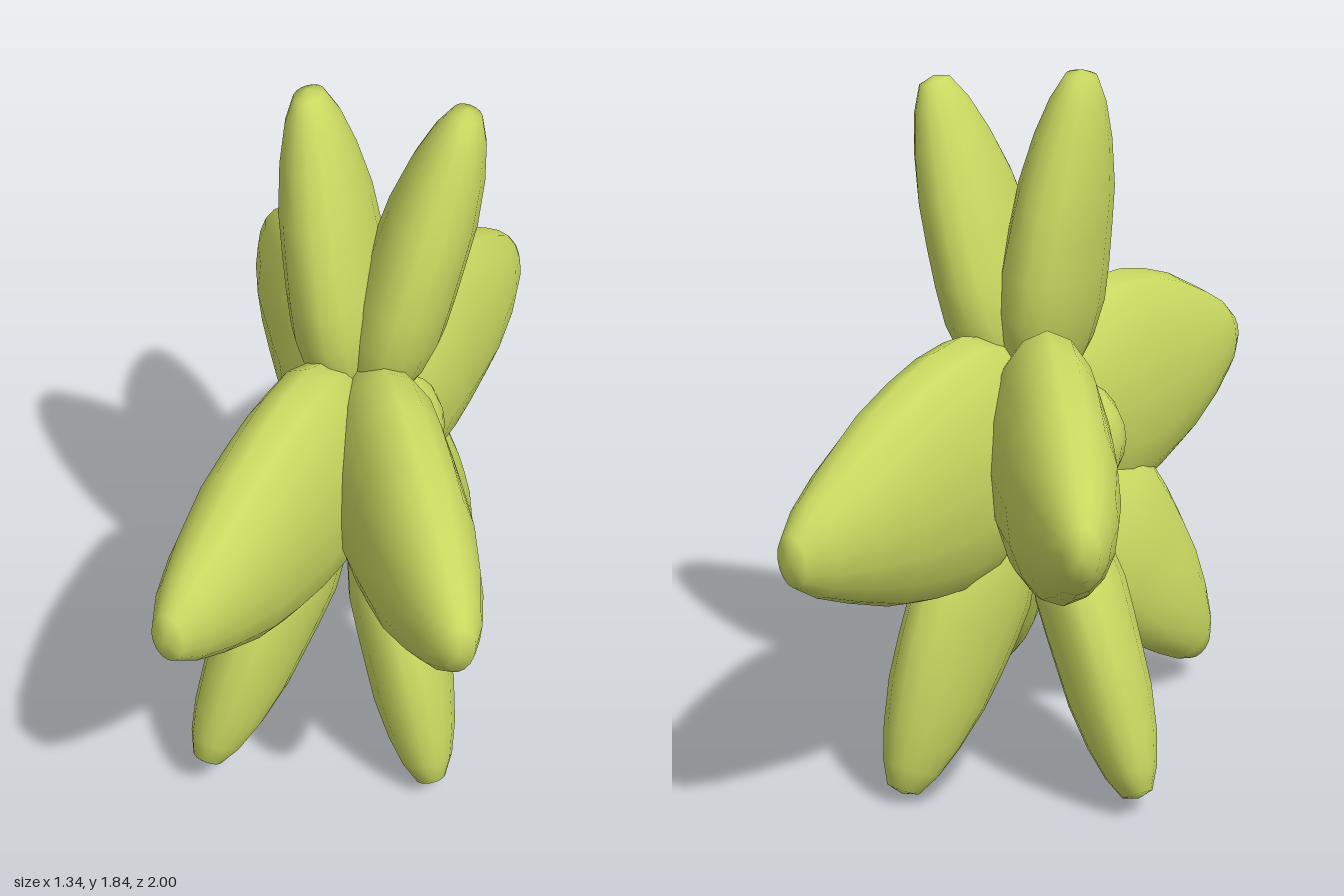
import * as THREE from 'three';
import { mergeVertices } from 'three/addons/utils/BufferGeometryUtils.js';

const HEART = new THREE.Vector3(0.01, 0.895, 0);

// Petal outline: [relative radius, position along the length]
const OUTLINE = [
  [0, -0.1], [0.32, -0.05], [0.65, 0.06], [0.87, 0.16], [0.99, 0.28], [0.97, 0.4], [0.89, 0.52],
  [0.76, 0.65], [0.54, 0.8], [0.36, 0.91], [0.19, 0.985], [0, 1],
];

// Flattened petal pointing from the heart to its tip.
// start: distance of its base from the heart; roundness below 1 gives blunter ends
function petal(name, material, tip, wideHint, { wide, thick, start, roundness }) {
  const axis = new THREE.Vector3(...tip).sub(HEART);
  const length = axis.length() - start;
  axis.normalize();
  const side = new THREE.Vector3(...wideHint);
  side.addScaledVector(axis, -side.dot(axis)).normalize();
  const normal = new THREE.Vector3().crossVectors(side, axis);

  const profile = OUTLINE.map(([r, t]) => new THREE.Vector2(r ** roundness, t));
  let geometry = new THREE.LatheGeometry(profile, 16);
  const p = geometry.attributes.position;
  for (let i = 0; i < p.count; i++) {
    const t = p.getY(i);
    // the thickness tapers later than the width
    const fuller = 1 + 0.4 * THREE.MathUtils.smoothstep(t, 0.4, 1);
    p.setXYZ(i, p.getX(i) * wide, start + t * length, p.getZ(i) * thick * fuller);
  }
  geometry.deleteAttribute('uv');
  geometry.deleteAttribute('normal');
  geometry = mergeVertices(geometry, 1e-5);
  geometry.applyMatrix4(new THREE.Matrix4().makeBasis(side, axis, normal).setPosition(HEART));
  geometry.computeVertexNormals();

  const mesh = new THREE.Mesh(geometry, material);
  mesh.name = name;
  return mesh;
}

export function createModel() {
  const group = new THREE.Group();
  group.name = 'petalCluster';
  const material = new THREE.MeshStandardMaterial({ color: 0xc8d860 });

  // Large horizontal petals
  const large = { wide: 0.332, thick: 0.155, start: 0.02, roundness: 0.97 };
  [
    ['frontPetal', [0.03, 0.92, 1]],
    ['backPetal', [-0.03, 0.82, -1]],
    ['frontLeftPetal', [0.64, 0.91, 0.71]],
    ['backRightPetal', [-0.65, 0.89, -0.72]],
  ].forEach(([name, tip]) => group.add(petal(name, material, tip, [0, 1, 0], large)));

  // Upright petals
  const upright = { wide: 0.243, thick: 0.128, start: 0.11, roundness: 0.93 };
  [
    ['upperRightPetal', [-0.13, 1.83, 0.01]],
    ['upperLeftPetal', [0.23, 1.8, -0.13]],
  ].forEach(([name, tip]) => group.add(petal(name, material, tip, [0.33, 0, 1], upright)));

  // Drooping petals, each twisted slightly about its length
  const drooping = { wide: 0.245, thick: 0.122, start: 0.24, roundness: 0.88 };
  [
    ['lowerFrontPetal', [-0.14, 0.09, 0.6], [0.2, 0.9, 0]],
    ['lowerLeftPetal', [0.4, 0.03, 0.33], [0.1, 0.8, 0.5]],
    ['lowerRightPetal', [-0.48, 0.04, -0.22], [-0.1, 0.8, -0.5]],
    ['lowerBackPetal', [0.06, 0.01, -0.51], [-0.1, 0.9, 0]],
  ].forEach(([name, tip, wideHint]) => group.add(petal(name, material, tip, wideHint, drooping)));

  // Rounded heart showing between the petals
  const heart = new THREE.Mesh(new THREE.SphereGeometry(1, 20, 14), material);
  heart.name = 'heart';
  heart.scale.set(0.225, 0.19, 0.25);
  heart.position.set(0, 0.845, 0);
  group.add(heart);

  return group;
}
